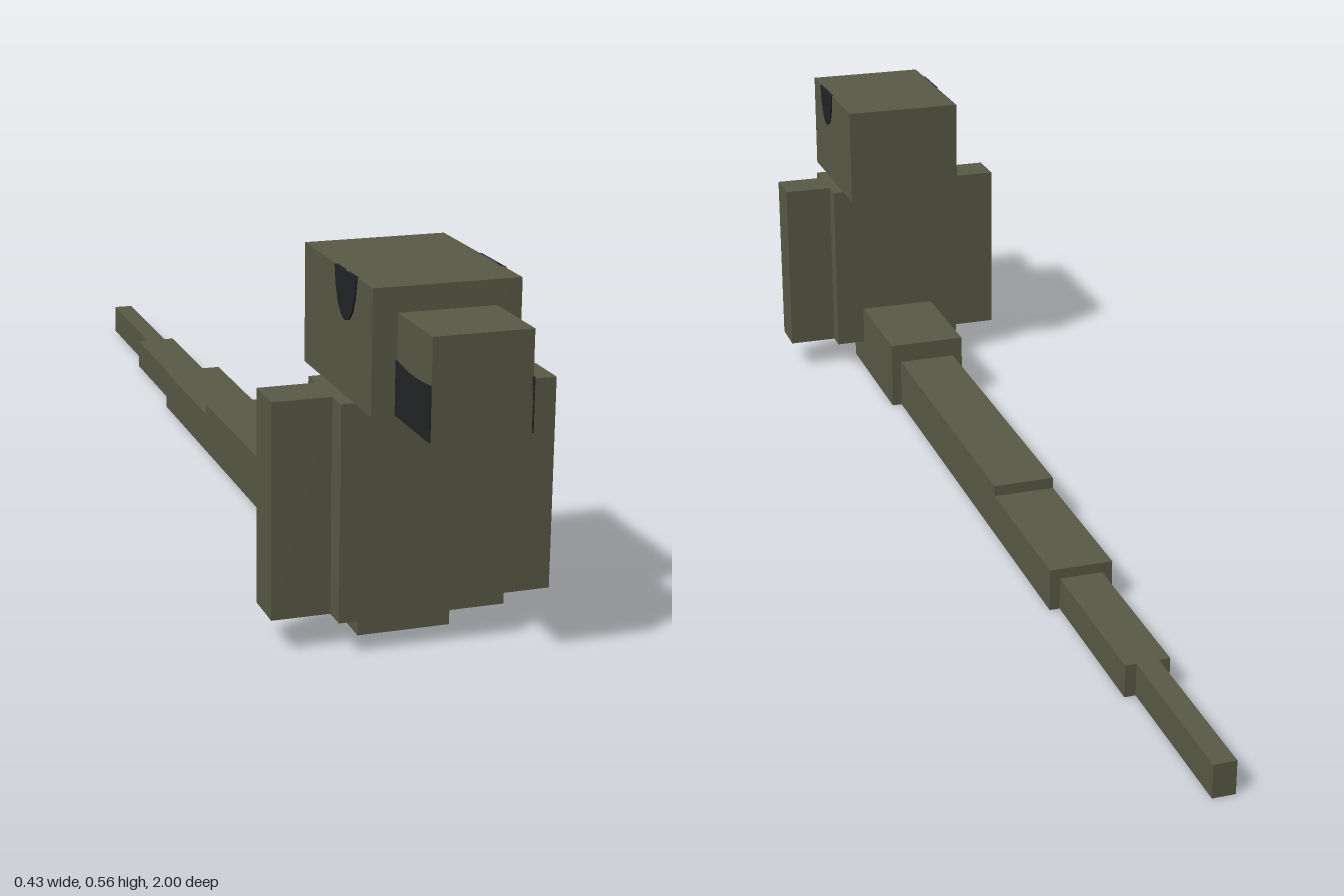
import * as THREE from 'three';

const olive = new THREE.MeshStandardMaterial({ name: 'olive skin', color: 0x5a5a47 });
const black = new THREE.MeshStandardMaterial({ name: 'near black', color: 0x222426 });

// Box given by its extents on each axis
function block(name, [x0, x1], [y0, y1], [z0, z1]) {
  const mesh = new THREE.Mesh(new THREE.BoxGeometry(x1 - x0, y1 - y0, z1 - z0), olive);
  mesh.position.set((x0 + x1) / 2, (y0 + y1) / 2, (z0 + z1) / 2);
  mesh.name = name;
  return mesh;
}

// Thin plate on a side face, drawn in (z, y) and centred on the face at x
function sidePlate(name, shape, x) {
  const depth = 0.005;
  const geo = new THREE.ExtrudeGeometry(shape, { depth, bevelEnabled: false, curveSegments: 8 });
  geo.translate(0, 0, -depth / 2).rotateY(-Math.PI / 2);
  const mesh = new THREE.Mesh(geo, black);
  mesh.position.x = x;
  mesh.name = name;
  return mesh;
}

export function createModel() {
  const model = new THREE.Group();
  model.name = 'longTailedCreature';

  // Head, snout and upright body
  model.add(
    block('head', [-0.107, 0.107], [0.377, 0.555], [0.59, 0.875]),
    block('snout', [-0.071, 0.071], [0.377, 0.519], [0.875, 1]),
    block('body', [-0.125, 0.125], [0.054, 0.376], [0.662, 0.805]),
  );

  // Tail segments, from the base to the tip: half width, height, z range
  const tail = [
    [0.071, 0.125, 0.448, 0.734],
    [0.053, 0.09, -0.141, 0.448],
    [0.053, 0.071, -0.427, -0.141],
    [0.036, 0.054, -0.714, -0.427],
    [0.018, 0.054, -1, -0.714],
  ];
  tail.forEach(([w, h, z0, z1], i) => {
    model.add(block(`tailSegment${i + 1}`, [-w, w], [0, h], [z0, z1]));
  });

  // Rounded eye hanging from the top edge of the head
  const eye = new THREE.Shape();
  eye.moveTo(0.727, 0.555);
  eye.bezierCurveTo(0.735, 0.462, 0.807, 0.462, 0.815, 0.555);
  eye.closePath();

  // Dark lower jaw with a slightly sagging upper edge
  const jaw = new THREE.Shape();
  jaw.moveTo(0.875, 0.377);
  jaw.lineTo(1, 0.377);
  jaw.lineTo(1, 0.454);
  jaw.quadraticCurveTo(0.9375, 0.444, 0.875, 0.454);
  jaw.closePath();

  // Mirrored arms and face markings
  for (const [side, s] of [['left', 1], ['right', -1]]) {
    const xs = s > 0 ? [0.125, 0.213] : [-0.213, -0.125];
    model.add(
      block(`${side}Arm`, xs, [0.054, 0.376], [0.696, 0.768]),
      sidePlate(`${side}Eye`, eye, s * 0.107),
      sidePlate(`${side}Jaw`, jaw, s * 0.071),
    );
  }
  return model;
}
